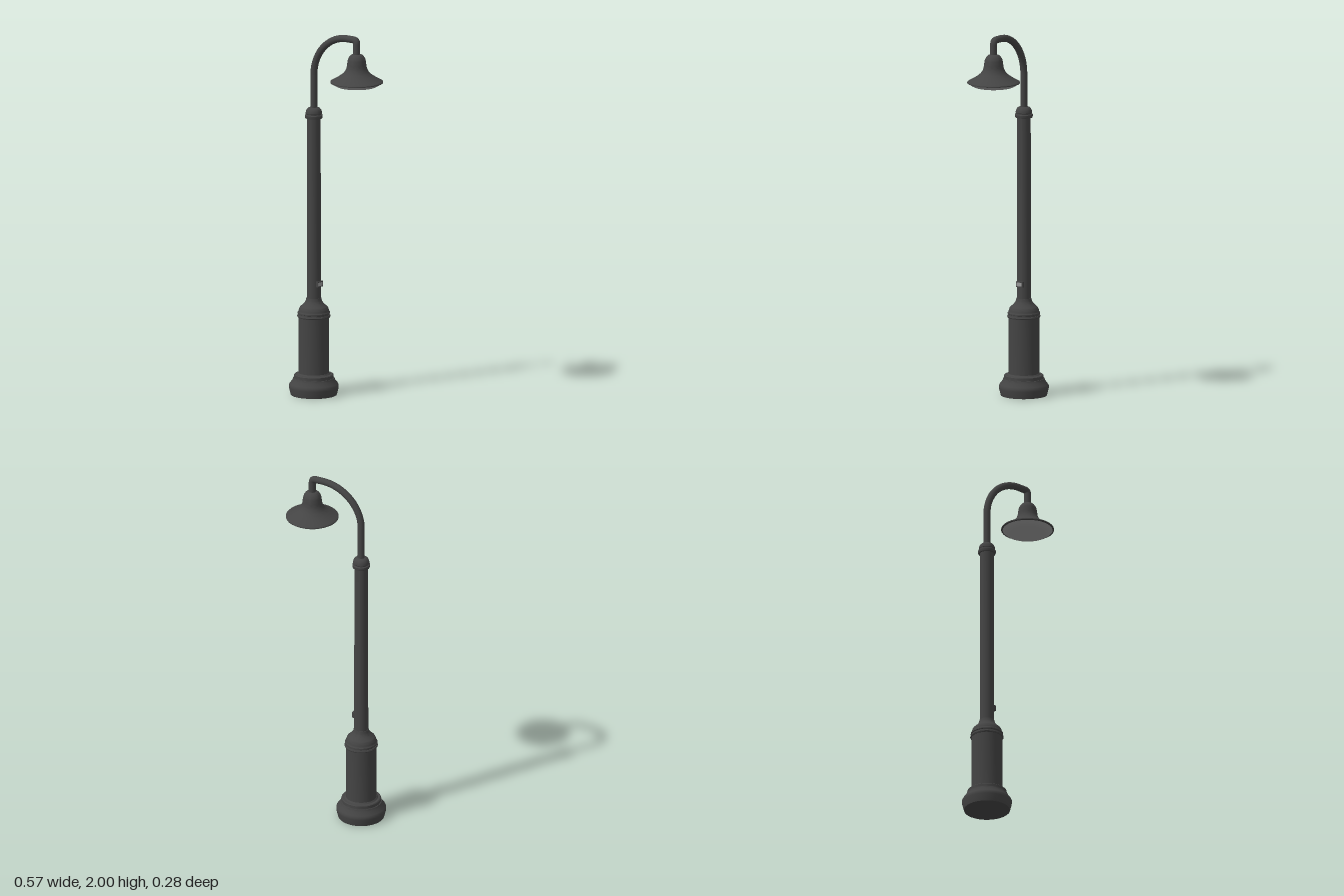
import * as THREE from 'three';
import { toCreasedNormals } from 'three/addons/utils/BufferGeometryUtils.js';

const POLE_X = -0.152, LAMP_X = 0.143, SEGMENTS = 32;

const dark = new THREE.MeshStandardMaterial({ color: 0x444444 });
const darkThin = new THREE.MeshStandardMaterial({ color: 0x444444, side: THREE.DoubleSide });
const pale = new THREE.MeshStandardMaterial({ color: 0x999999 });

// Turned part from [radius, height] pairs, listed bottom to top
function turned(name, x, profile, material = dark) {
  const points = profile.map(([r, y]) => new THREE.Vector2(r, y));
  const geometry = toCreasedNormals(new THREE.LatheGeometry(points, SEGMENTS), 0.6);
  const mesh = new THREE.Mesh(geometry, material);
  mesh.name = name;
  mesh.position.x = x;
  return mesh;
}

function box(name, size, position, material) {
  const mesh = new THREE.Mesh(new THREE.BoxGeometry(...size), material);
  mesh.name = name;
  mesh.position.set(...position);
  return mesh;
}

// Smooth run of profile points through a few control points
function smooth(controls, count) {
  const curve = new THREE.SplineCurve(controls.map(([r, y]) => new THREE.Vector2(r, y)));
  return curve.getPoints(count).map(p => [p.x, p.y]);
}

// Swan neck: upright, quarter bend, short level run, tight elbow, drop to the lamp
function armCurve() {
  const v = (x, y) => new THREE.Vector3(x, y, 0);
  const top = 1.981, spring = 1.75, bendX = 0.08, k = 0.5523;
  const path = new THREE.CurvePath();
  path.add(new THREE.LineCurve3(v(POLE_X, 1.56), v(POLE_X, spring)));
  path.add(new THREE.CubicBezierCurve3(
    v(POLE_X, spring), v(POLE_X, spring + k * (top - spring)),
    v(bendX - k * (bendX - POLE_X), top), v(bendX, top)));
  path.add(new THREE.LineCurve3(v(bendX, top), v(LAMP_X - 0.02, top)));
  path.add(new THREE.QuadraticBezierCurve3(v(LAMP_X - 0.02, top), v(LAMP_X, top), v(LAMP_X, top - 0.02)));
  path.add(new THREE.LineCurve3(v(LAMP_X, top - 0.02), v(LAMP_X, 1.89)));
  return path;
}

export function createModel() {
  const model = new THREE.Group();
  model.name = 'streetLamp';

  // Foot with a sloped shoulder and a stepped ring
  model.add(turned('foot', POLE_X, [
    [0, 0], [0.124, 0], [0.134, 0.04], [0.134, 0.053],
    [0.129, 0.062], [0.115, 0.08], [0.111, 0.092],
    [0.106, 0.092], [0.106, 0.109], [0.102, 0.113], [0.09, 0.113], [0.084, 0.12], [0, 0.12],
  ]));

  // Wide lower column
  model.add(turned('lowerColumn', POLE_X, [[0.083, 0.11], [0.083, 0.43]]));

  // Ring and bell-shaped shoulder where the column narrows
  model.add(turned('columnShoulder', POLE_X, [
    [0.08, 0.425], [0.087, 0.425], [0.09, 0.431], [0.087, 0.438], [0.083, 0.438],
    [0.083, 0.444], [0.087, 0.446], [0.087, 0.452], [0.083, 0.456],
    ...smooth([[0.082, 0.46], [0.076, 0.478], [0.06, 0.493], [0.046, 0.51], [0.04, 0.53]], 12),
    [0.037, 0.53],
  ]));

  // Slender pole
  model.add(turned('pole', POLE_X, [[0.038, 0.5], [0.037, 1.53]]));

  // Collar and domed cap at the top of the pole
  model.add(turned('poleCollar', POLE_X, [
    [0.036, 1.516], [0.046, 1.516], [0.048, 1.522], [0.048, 1.532], [0.045, 1.536],
    [0.042, 1.536], [0.042, 1.54], [0.044, 1.543], [0.043, 1.553],
    [0.039, 1.563], [0.032, 1.571], [0.022, 1.575], [0, 1.575],
  ]));

  // Curved arm
  const arm = new THREE.Mesh(new THREE.TubeGeometry(armCurve(), 90, 0.019, 16), dark);
  arm.name = 'arm';
  model.add(arm);

  // Bell shade, open underneath
  model.add(turned('shade', LAMP_X, [
    [0.134, 1.748], [0.142, 1.75], [0.142, 1.755],
    ...smooth([[0.14, 1.757], [0.106, 1.776], [0.073, 1.8], [0.056, 1.827], [0.051, 1.855],
      [0.046, 1.88], [0.033, 1.899], [0.018, 1.905], [0, 1.906]], 28),
  ], darkThin));

  // Shallow lens closing the shade
  model.add(turned('lens', LAMP_X, [
    [0, 1.721], [0.04, 1.722], [0.08, 1.725], [0.105, 1.73], [0.122, 1.738], [0.136, 1.75],
  ], pale));

  // Small service box on the lamp side of the pole
  model.add(box('serviceBox', [0.03, 0.03, 0.042], [POLE_X + 0.031, 0.61, 0], dark));
  model.add(box('serviceBoxPlate', [0.002, 0.02, 0.032], [POLE_X + 0.0462, 0.61, 0], pale));

  return model;
}
